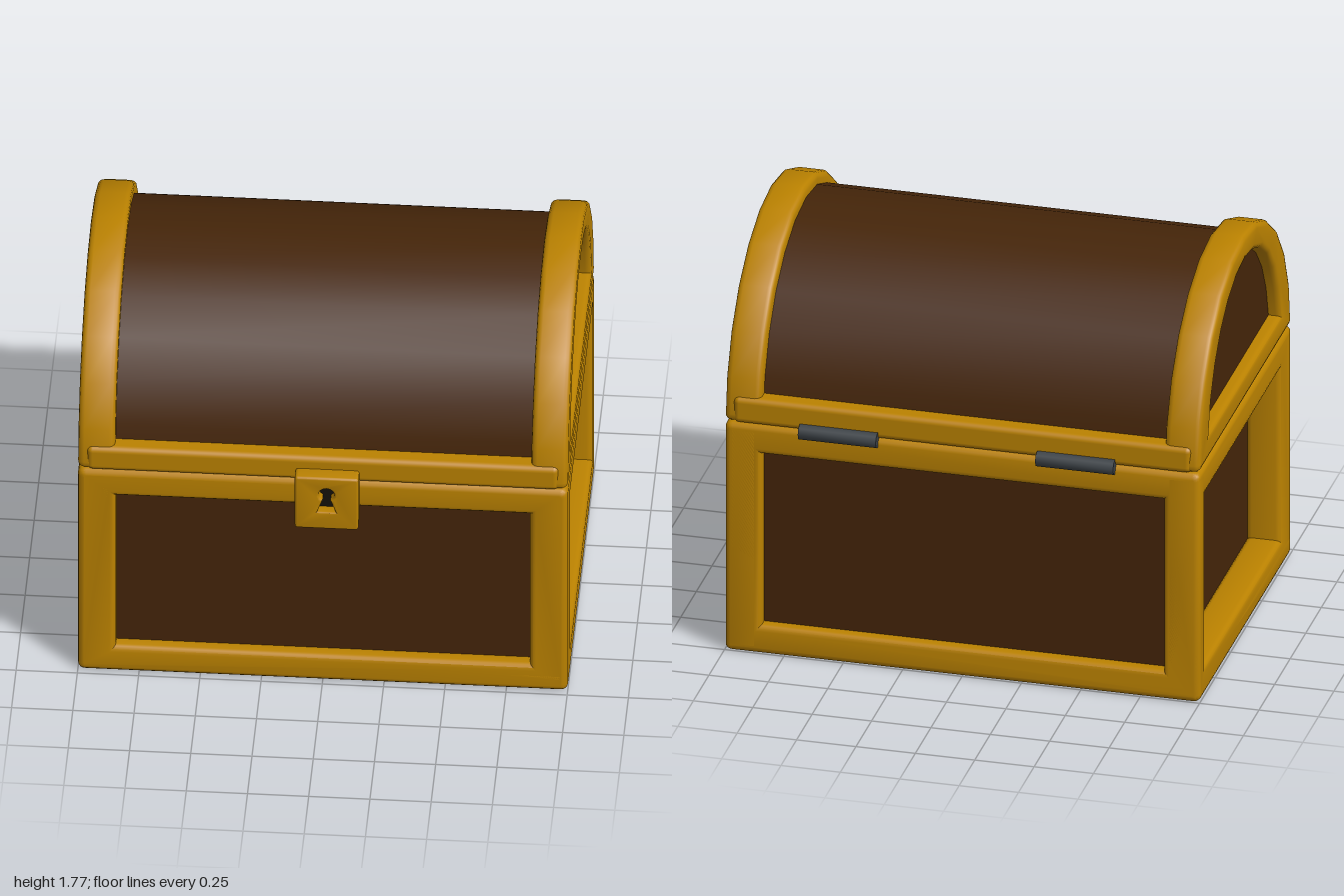
import * as THREE from 'three';
import { toCreasedNormals } from 'three/addons/utils/BufferGeometryUtils.js';
import { RoundedBoxGeometry } from 'three/addons/geometries/RoundedBoxGeometry.js';

const gold = new THREE.MeshStandardMaterial({ color: 0xbb8200 });
const wood = new THREE.MeshStandardMaterial({ color: 0x452509 });
const iron = new THREE.MeshStandardMaterial({ color: 0x3c4247 });
const dark = new THREE.MeshStandardMaterial({ color: 0x15110c });

const FRONT = 0.73, BACK = -0.755, MID = (FRONT + BACK) / 2;
const SEAM = 1.029;

// Rectangle outline from its limits
const rect = (x0, x1, y0, y1) =>
  [[x0, y0], [x1, y0], [x1, y1], [x0, y1]].map(p => new THREE.Vector2(...p));

// Half-ellipse outline, closed by a straight base; start trims both ends
function arch(a, b, start = 0, segments = 12) {
  const points = [];
  for (let i = 0; i <= segments; i++) {
    const t = start + (Math.PI - 2 * start) * i / segments;
    points.push(new THREE.Vector2(-MID + a * Math.cos(t), SEAM + 0.005 + b * Math.sin(t)));
  }
  return points;
}

// Rounds the sharp corners of an outline and leaves shallow ones alone
function roundCorners(points, radius) {
  const result = [];
  points.forEach((p, i) => {
    const before = points.at(i - 1).clone().sub(p).normalize();
    const after = points[(i + 1) % points.length].clone().sub(p).normalize();
    if (before.dot(after) < -0.7) { result.push(p); return; }
    const from = p.clone().addScaledVector(before, radius);
    const to = p.clone().addScaledVector(after, radius);
    result.push(...new THREE.QuadraticBezierCurve(from, p, to).getPoints(4));
  });
  return result;
}

// Plate with rounded edges and an optional opening, centred on its thickness
function plate(outline, opening, thickness, bevel = 0.025) {
  const shape = new THREE.Shape(bevel > 0 ? roundCorners(outline, bevel * 1.3) : outline);
  if (opening) shape.holes.push(new THREE.Path(opening));
  const geometry = new THREE.ExtrudeGeometry(shape, {
    depth: thickness - 2 * bevel, bevelEnabled: bevel > 0, bevelThickness: bevel,
    bevelSize: bevel, bevelOffset: -bevel, bevelSegments: 3
  });
  geometry.translate(0, 0, bevel - thickness / 2);
  return toCreasedNormals(geometry, 0.7);
}

function add(parent, name, geometry, material, x = 0, y = 0, z = 0) {
  const mesh = new THREE.Mesh(geometry, material);
  mesh.name = name;
  mesh.position.set(x, y, z);
  parent.add(mesh);
}

function createBody() {
  const body = new THREE.Group();
  body.name = 'body';

  // Recessed wooden box
  add(body, 'woodenBox', new THREE.BoxGeometry(1.71, 0.97, 1.37), wood, 0, 0.525, -0.015);

  // Front and back frames
  const longFrame = plate(rect(-1, 1, 0, SEAM), rect(-0.846, 0.846, 0.126, 0.9), 0.095);
  add(body, 'frontFrame', longFrame, gold, 0, 0, FRONT - 0.0475);
  add(body, 'backFrame', longFrame, gold, 0, 0, BACK + 0.0475);

  // End frames: the outline runs along -z
  const endFrame = plate(rect(-FRONT, -BACK, 0, SEAM), rect(-0.56, 0.655, 0.126, 0.9), 0.15);
  endFrame.rotateY(Math.PI / 2);
  for (const side of [-1, 1]) add(body, 'endFrame', endFrame, gold, side * 0.925);

  // Bottom frame
  const bottomFrame = plate(rect(-1, 1, -FRONT, -BACK), rect(-0.88, 0.88, -FRONT + 0.12, -BACK - 0.12), 0.1);
  bottomFrame.rotateX(-Math.PI / 2);
  add(body, 'bottomFrame', bottomFrame, gold, 0, 0.05);
  // Rim layer that closes the top under the lid
  add(body, 'rim', new THREE.BoxGeometry(1.93, 0.08, 1.415), gold, 0, SEAM, MID);
  return body;
}

function createLid() {
  const lid = new THREE.Group();
  lid.name = 'lid';

  // Barrel-shaped wooden lid
  const barrel = plate(arch(0.685, 0.685), null, 1.89, 0);
  barrel.rotateY(Math.PI / 2);
  add(lid, 'barrel', barrel, wood);

  // Arched end frames
  const endArch = plate(arch(0.742, 0.733), arch(0.585, 0.625, 0.168), 0.15);
  endArch.rotateY(Math.PI / 2);
  for (const side of [-1, 1]) add(lid, 'endArch', endArch, gold, side * 0.925);

  // Front and back rails
  const rail = new RoundedBoxGeometry(1.93, 0.116, 0.1, 3, 0.025);
  add(lid, 'frontRail', rail, gold, 0, SEAM + 0.058, FRONT - 0.05);
  add(lid, 'backRail', rail, gold, 0, SEAM + 0.058, BACK + 0.05);
  return lid;
}

function createLock() {
  const lock = new THREE.Group();
  lock.name = 'lock';
  lock.position.set(0.02, 0.96, 0.747);

  // Keyhole: round top on a flared slot
  const keyhole = [];
  for (let i = 0; i <= 12; i++) {
    const t = -Math.PI / 3 + (5 * Math.PI / 3) * i / 12;
    keyhole.push(new THREE.Vector2(0.032 * Math.cos(t), 0.042 + 0.032 * Math.sin(t)));
  }
  keyhole.push(new THREE.Vector2(-0.038, -0.046), new THREE.Vector2(0.038, -0.046));
  add(lock, 'lockPlate', plate(rect(-0.13, 0.13, -0.13, 0.13), keyhole, 0.09, 0.01), gold);
  add(lock, 'keyholeBack', new THREE.BoxGeometry(0.14, 0.18, 0.02), dark, 0, 0, -0.01);
  return lock;
}

export function createModel() {
  const chest = new THREE.Group();
  chest.name = 'chest';
  chest.add(createBody(), createLid(), createLock());

  // Hinge barrels on the back seam
  const hinge = toCreasedNormals(new THREE.CylinderGeometry(0.034, 0.034, 0.328, 8).rotateZ(Math.PI / 2), 0.9);
  for (const x of [-0.482, 0.517]) add(chest, 'hinge', hinge, iron, x, 1.027, -0.758);
  return chest;
}
